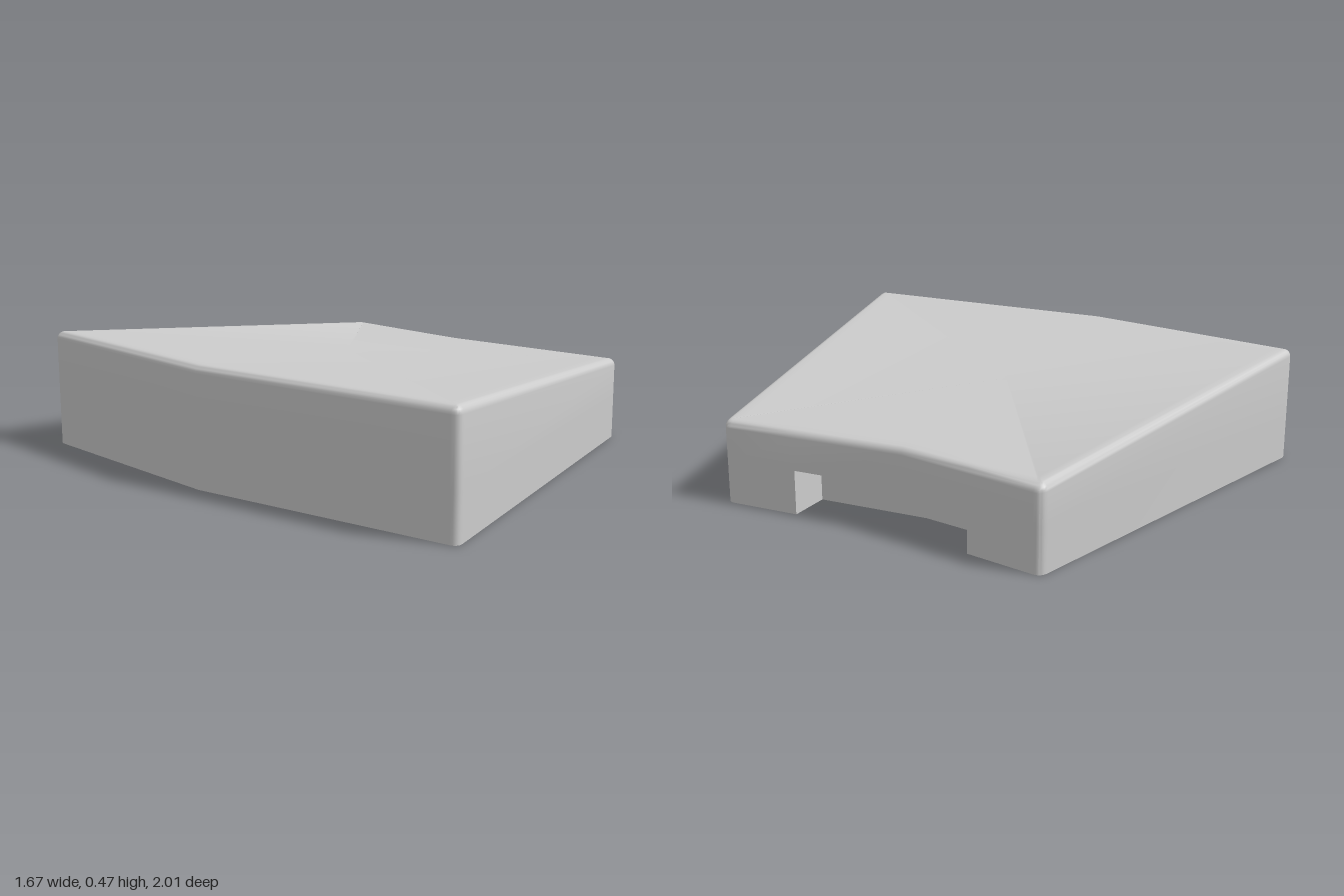
import * as THREE from 'three';
import { toCreasedNormals } from 'three/addons/utils/BufferGeometryUtils.js';

const NOTCH_TOP = 0.175, NOTCH_DEPTH = 0.17, BEVEL = 0.03;

// Plan outline [x, z], clockwise from above; r rounds the corner
const corners = [
  { p: [-0.71, -1.01], r: 0.035 },
  { p: [0.837, -0.632], r: 0.035 },
  { p: [0.789, -0.32], notch: true },
  { p: [0.75, -0.03], notch: true },
  { p: [0.78, 0.42] },
  { p: [0.80, 0.728], r: 0.035 },
  { p: [-0.765, 1.008], r: 0.035 },
  { p: [-0.835, -0.09] },
];

// Height of the sloping top
const topHeight = (x) => Math.min(0.465, 0.465 - 0.0905 * (x + 0.68));

function buildOutline() {
  const v = corners.map((c) => new THREE.Vector2(...c.p));
  const n = v.length, out = [];
  corners.forEach((c, i) => {
    if (!c.r) { out.push({ p: v[i], notch: c.notch }); return; }
    const toward = (q) => q.clone().sub(v[i]).setLength(c.r).add(v[i]);
    const curve = new THREE.QuadraticBezierCurve(toward(v[(i + n - 1) % n]), v[i], toward(v[(i + 1) % n]));
    curve.getPoints(5).forEach((p) => out.push({ p }));
  });
  // Outward normals
  out.forEach((o, i) => {
    const a = out[(i + out.length - 1) % out.length].p, b = out[(i + 1) % out.length].p;
    const e1 = o.p.clone().sub(a).normalize(), e2 = b.clone().sub(o.p).normalize();
    const d = e1.add(e2).normalize();
    o.n = new THREE.Vector2(d.y, -d.x);
  });
  return out;
}

function meshFrom(tris, name, crease) {
  const geo = new THREE.BufferGeometry().setFromPoints(tris);
  geo.computeVertexNormals();
  const mat = new THREE.MeshStandardMaterial({ color: 0xcccccc, side: THREE.DoubleSide });
  const mesh = new THREE.Mesh(toCreasedNormals(geo, crease), mat);
  mesh.name = name;
  return mesh;
}

const quad = (list, a, b, c, d) => list.push(a, b, c, a, c, d);

export function createModel() {
  const group = new THREE.Group();
  group.name = 'wedgeCover';
  const outline = buildOutline(), n = outline.length;
  const ring = (inset, yAt) => outline.map(({ p, n: m }) =>
    new THREE.Vector3(p.x - m.x * inset, yAt(p.x), p.y - m.y * inset));

  // Walls in two rows, then the rounded rim
  const rings = [ring(0, () => 0), ring(0, () => NOTCH_TOP)];
  for (let k = 0; k <= 5; k++) {
    const a = (k / 5) * Math.PI / 2;
    rings.push(ring(BEVEL * (1 - Math.cos(a)), (x) => topHeight(x) - BEVEL * (1 - Math.sin(a))));
  }
  const shell = [];
  for (let k = 0; k < rings.length - 1; k++) {
    for (let i = 0; i < n; i++) {
      if (k === 0 && outline[i].notch) continue;
      const j = (i + 1) % n, lo = rings[k], hi = rings[k + 1];
      quad(shell, lo[j], lo[i], hi[i], hi[j]);
    }
  }

  // Sloping top, shallowly dished along its middle
  const last = rings[rings.length - 1], centre = new THREE.Vector3(0, 0.395, -0.06);
  const inner = last.map((p) => p.clone().lerp(centre, 0.04));
  for (let i = 0; i < n; i++) {
    const j = (i + 1) % n;
    quad(shell, last[j], last[i], inner[i], inner[j]);
    shell.push(inner[j], inner[i], centre);
  }
  group.add(meshFrom(shell, 'openShell', 0.7));

  // Recess in the side wall: back, ceiling and two ends
  const notch = [];
  const at = (c, depth, y) => new THREE.Vector3(c.p[0] - depth, y, c.p[1]);
  const span = corners.slice(2, 5);
  for (let i = 0; i < 2; i++) {
    const a = span[i], b = span[i + 1], D = NOTCH_DEPTH, T = NOTCH_TOP;
    quad(notch, at(b, D, 0), at(a, D, 0), at(a, D, T), at(b, D, T));
    quad(notch, at(a, 0, T), at(b, 0, T), at(b, D, T), at(a, D, T));
  }
  [span[0], span[2]].forEach((c, i) => {
    const q = [at(c, 0, 0), at(c, 0, NOTCH_TOP), at(c, NOTCH_DEPTH, NOTCH_TOP), at(c, NOTCH_DEPTH, 0)];
    quad(notch, ...(i ? q : q.reverse()));
  });
  // Ends face into the recess
  group.add(meshFrom(notch, 'sideRecess', 0.7));
  return group;
}
